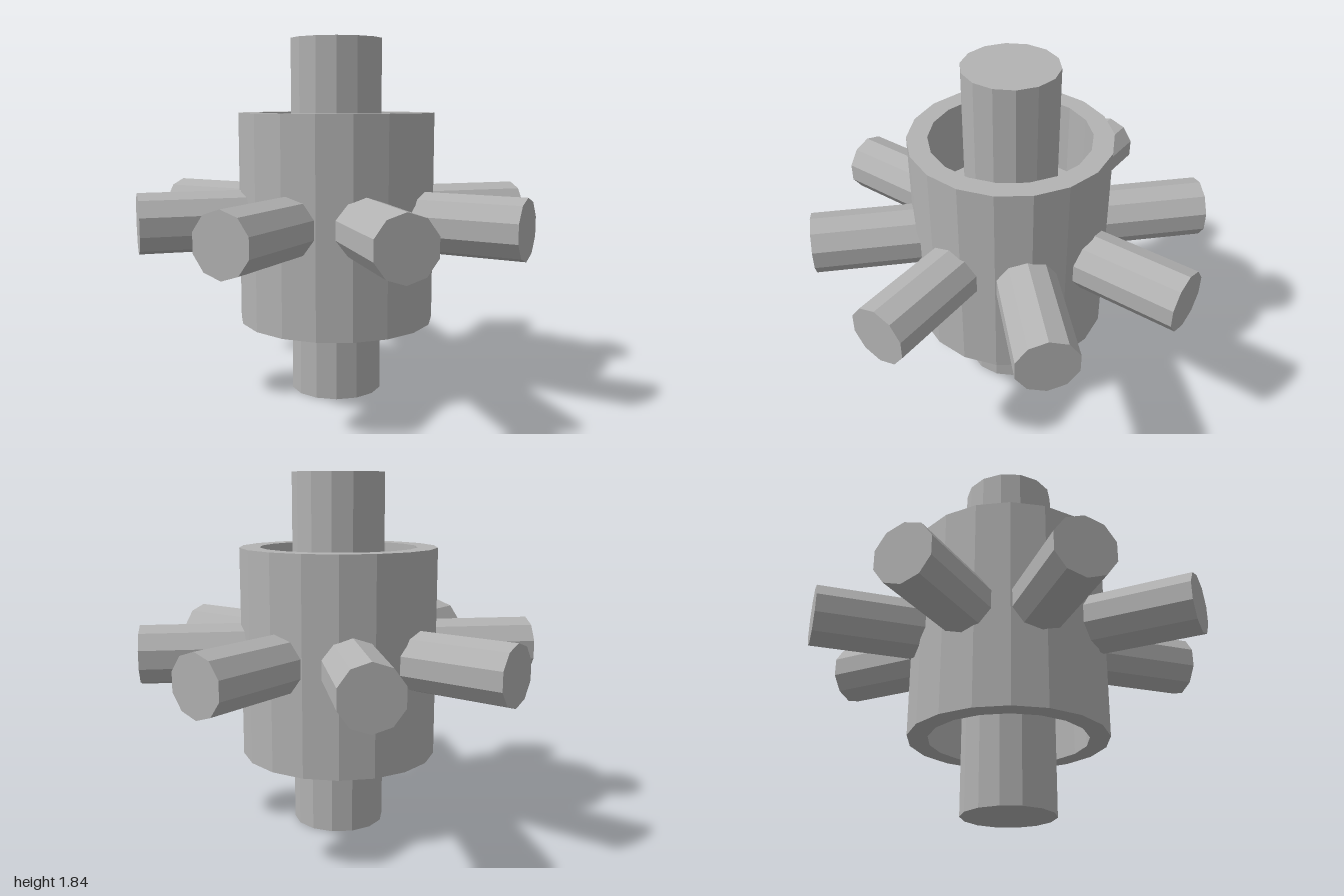
import * as THREE from 'three';

export function createModel() {
  const group = new THREE.Group();
  group.name = 'spokedHub';
  const grey = new THREE.MeshStandardMaterial({ color: 0xb3b3b3, flatShading: true });
  grey.name = 'grey';

  const add = (name, geometry, parent = group) => {
    const mesh = new THREE.Mesh(geometry, grey);
    mesh.name = name;
    parent.add(mesh);
    return mesh;
  };

  // Central shaft through the whole height
  const height = 1.835;
  add('shaft', new THREE.CylinderGeometry(0.237, 0.237, height, 14)).position.y = height / 2;

  // Hub drum, hollowed from both ends, with a web joining it to the shaft
  const profile = [
    [0.2, 0.77], [0.405, 0.77], [0.405, 0.38], [0.508, 0.38],
    [0.508, 1.46], [0.405, 1.46], [0.405, 1.07], [0.2, 1.07],
  ].map(([r, y]) => new THREE.Vector2(r, y));
  add('hubDrum', new THREE.LatheGeometry(profile, 18));

  // Eight round spokes, set between the main axes
  const inner = 0.42, outer = 1.017;
  const spoke = new THREE.CylinderGeometry(0.153, 0.153, outer - inner, 10);
  spoke.rotateX(Math.PI / 2);
  spoke.translate(0, 0, (inner + outer) / 2);
  const spokes = new THREE.Group();
  spokes.name = 'spokes';
  spokes.position.y = 0.92;
  group.add(spokes);
  for (let i = 0; i < 8; i++) {
    add('spoke' + (i + 1), spoke, spokes).rotation.y = (i + 0.5) * Math.PI / 4;
  }

  return group;
}
